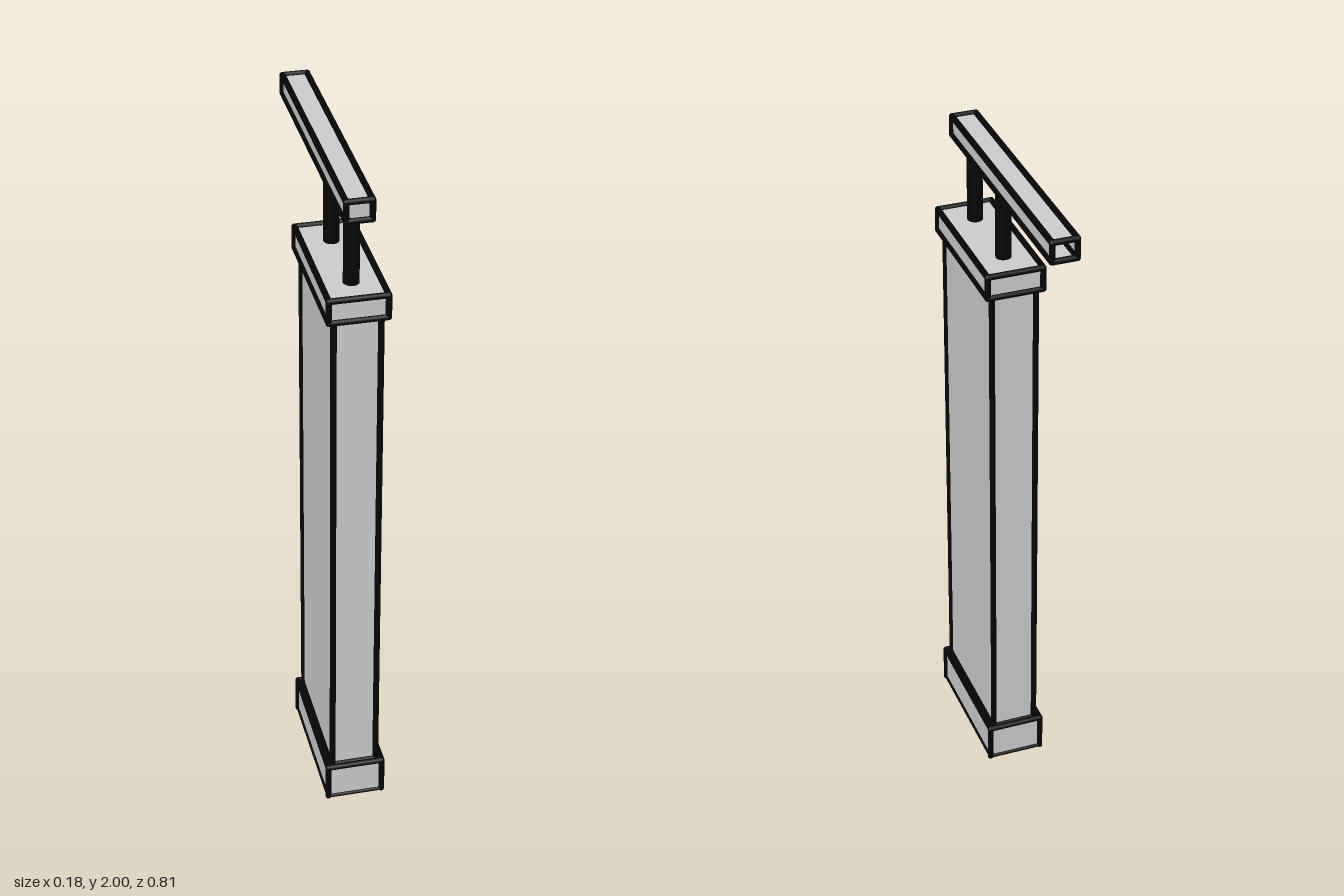
import * as THREE from 'three';

const grey = new THREE.MeshStandardMaterial({ color: 0xcccccc, side: THREE.DoubleSide });
const black = new THREE.MeshStandardMaterial({ color: 0x050505 });
const EDGE = 0.009;

function add(parent, name, geometry, material) {
  const mesh = new THREE.Mesh(geometry, material);
  mesh.name = name;
  parent.add(mesh);
  return mesh;
}

// Twelve thin rounded rods along the edges of a box
function addEdgeTrim(parent, size, lowRadius) {
  const axes = ['x', 'y', 'z'];
  axes.forEach((axis, i) => {
    const [a, b] = axes.filter((k) => k !== axis);
    for (const sa of [-1, 1]) {
      for (const sb of [-1, 1]) {
        const low = (a === 'y' && sa < 0) || (b === 'y' && sb < 0);
        const r = low ? lowRadius : EDGE;
        const rod = add(parent, 'edgeTrim', new THREE.CapsuleGeometry(r, size[axis], 3, 8), black);
        rod.position[a] = (sa * size[a]) / 2;
        rod.position[b] = (sb * size[b]) / 2;
        if (i === 0) rod.rotation.z = Math.PI / 2;
        if (i === 2) rod.rotation.x = Math.PI / 2;
      }
    }
  });
}

// Box given by its half width and its y and z ranges, with trimmed edges
function trimmedBox(name, halfX, [y0, y1], [z0, z1], { openBack = false, lowRadius = EDGE } = {}) {
  const group = new THREE.Group();
  group.name = name;
  group.position.set(0, (y0 + y1) / 2, (z0 + z1) / 2);
  const size = new THREE.Vector3(halfX * 2, y1 - y0, z1 - z0);
  const box = new THREE.BoxGeometry(size.x, size.y, size.z);
  // The last six indices are the back (-z) face
  if (openBack) box.setIndex(Array.from(box.index.array).slice(0, 30));
  add(group, name + 'Panel', box, grey);
  addEdgeTrim(group, size, lowRadius);
  return group;
}

export function createModel() {
  const model = new THREE.Group();
  model.name = 'pillarWithOverhead';

  // Slab pillar between two wider caps
  model.add(trimmedBox('baseCap', 0.081, [0.006, 0.115], [-0.028, 0.395], { lowRadius: 0.006 }));
  model.add(trimmedBox('pillar', 0.065, [0.115, 1.64], [-0.015, 0.38]));
  model.add(trimmedBox('topCap', 0.081, [1.64, 1.706], [-0.028, 0.395]));

  // Two round posts carrying the beam
  for (const z of [0.305, 0.07]) {
    const post = add(model, 'post', new THREE.CylinderGeometry(0.023, 0.023, 0.24, 12), black);
    post.position.set(0, 1.82, z);
  }

  // Cantilevered hollow beam, open at the back
  model.add(trimmedBox('beam', 0.035, [1.935, 1.991], [-0.392, 0.392], { openBack: true }));

  return model;
}
